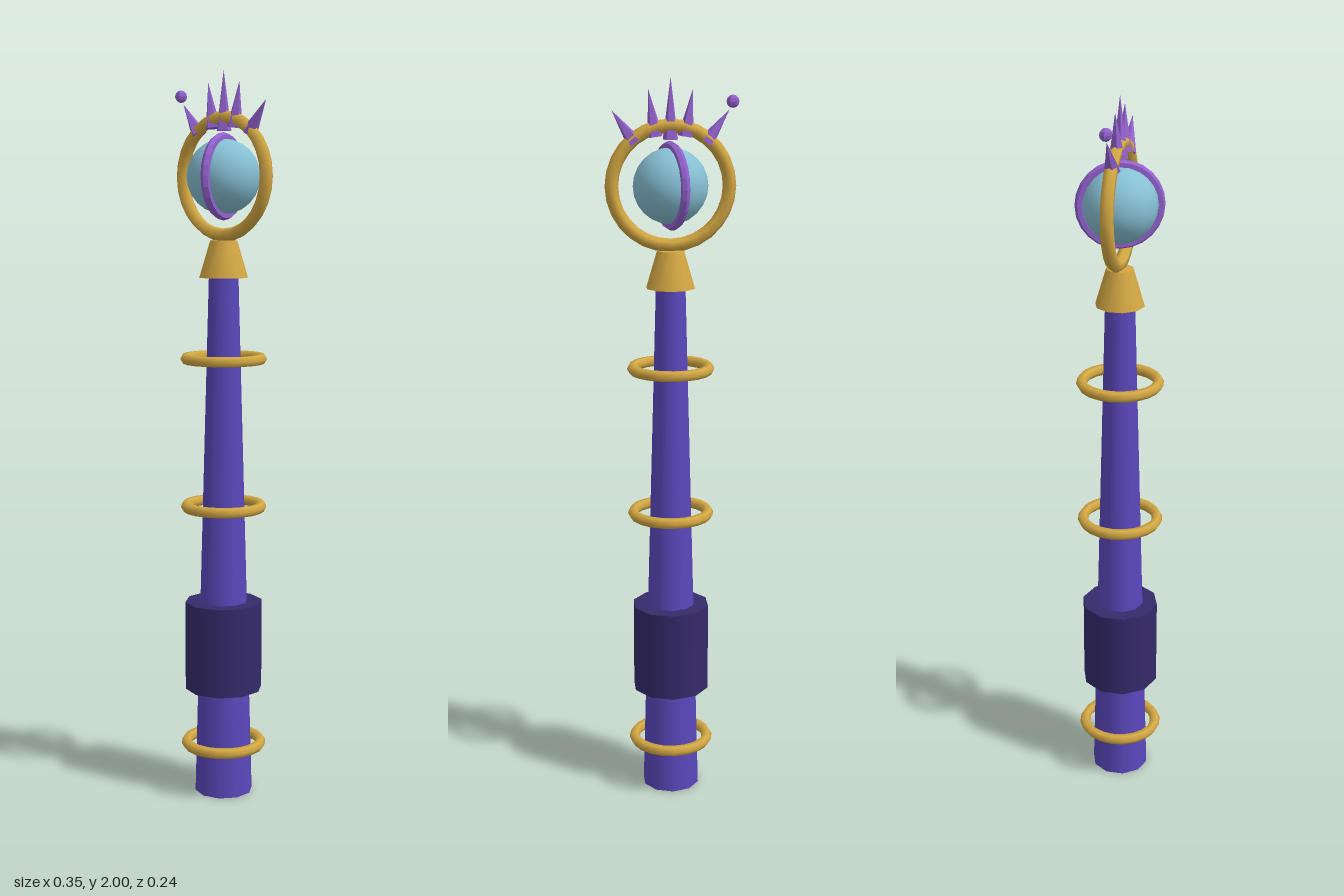
import * as THREE from 'three';

export function createModel() {
  const model = new THREE.Group();
  model.name = 'scepter';

  const material = (name, color, flatShading = false) => {
    const m = new THREE.MeshStandardMaterial({ color, flatShading });
    m.name = name;
    return m;
  };
  const violet = material('shaft violet', 0x5b48bd);
  const indigo = material('grip indigo', 0x352a6b);
  const gold = material('gold', 0xd4a843);
  const blue = material('orb blue', 0x87c0d4);
  const purple = material('crown purple', 0x9462d0, true);

  const add = (name, geometry, mat, x = 0, y = 0, z = 0) => {
    const mesh = new THREE.Mesh(geometry, mat);
    mesh.name = name;
    mesh.position.set(x, y, z);
    model.add(mesh);
    return mesh;
  };

  // Tapered shaft, grip and flared collar
  add('shaft', new THREE.CylinderGeometry(0.04, 0.081, 1.48, 10), violet, 0, 0.74);
  add('grip', new THREE.CylinderGeometry(0.108, 0.108, 0.25, 10), indigo, 0, 0.425);
  add('collar', new THREE.CylinderGeometry(0.037, 0.067, 0.1, 10), gold, 0, 1.5);

  // Floating bands around the shaft
  for (const y of [0.14, 0.82, 1.23]) {
    add('band', new THREE.TorusGeometry(0.104, 0.015, 6, 20), gold, 0, y).rotation.x = Math.PI / 2;
  }

  // Head: upright ring, orb and the turned hoop around it
  const headY = 1.72;
  add('headRing', new THREE.TorusGeometry(0.156, 0.018, 6, 28), gold, 0, headY);
  add('orb', new THREE.SphereGeometry(0.1, 14, 12), blue, 0, headY);
  add('orbHoop', new THREE.TorusGeometry(0.105, 0.012, 6, 24), purple, 0, headY).rotation.y = -1.28;

  // Crown spikes, each running from its base to its tip
  const up = new THREE.Vector3(0, 1, 0);
  const spike = (bx, by, tx, ty, radius) => {
    const base = new THREE.Vector3(bx, by, 0);
    const tip = new THREE.Vector3(tx, ty, 0);
    const axis = tip.clone().sub(base);
    const mesh = add('spike', new THREE.ConeGeometry(radius, axis.length(), 5), purple);
    mesh.position.copy(base).add(tip).multiplyScalar(0.5);
    mesh.quaternion.setFromUnitVectors(up, axis.normalize());
  };
  spike(0, 1.84, 0, 2, 0.021);
  for (const s of [-1, 1]) {
    spike(s * 0.04, 1.848, s * 0.058, 1.968, 0.022);
    spike(s * 0.094, 1.832, s * 0.154, 1.916, 0.022);
  }

  // Small bead at the tip of the right-hand spike
  add('bead', new THREE.SphereGeometry(0.017, 6, 6), purple, -0.163, 1.937);

  return model;
}
